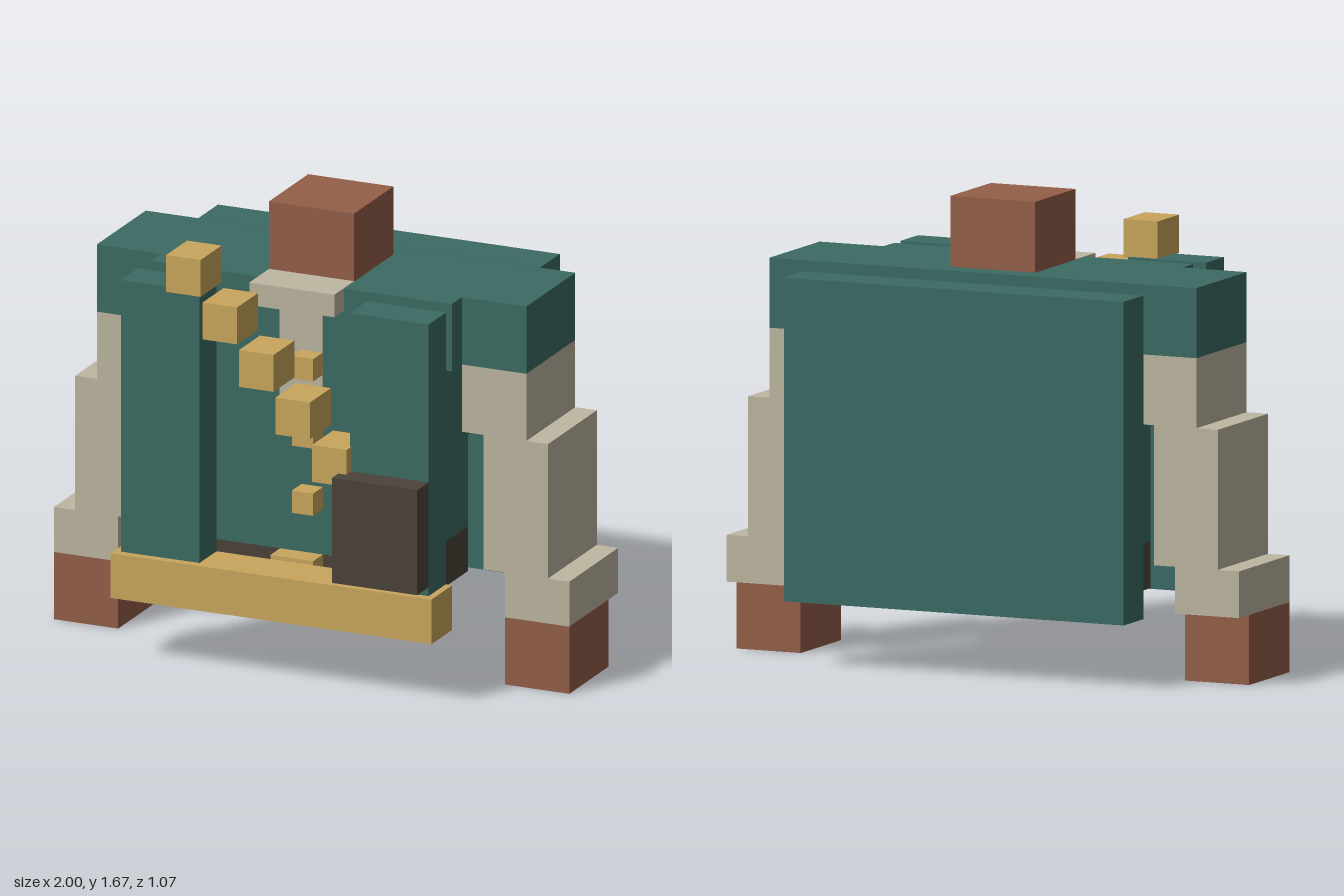
import * as THREE from 'three';

const material = (name, color) => {
  const m = new THREE.MeshStandardMaterial({ color });
  m.name = name;
  return m;
};

export function createModel() {
  const model = new THREE.Group();
  model.name = 'blockFigure';
  const teal = material('teal', 0x3c6b64);
  const cream = material('cream', 0xbdb7a1);
  const skin = material('skinBrown', 0x945f49);
  const gold = material('gold', 0xc9a65d);
  const dark = material('darkBrown', 0x4b4339);

  // Box given by its limits on each axis
  function box(name, mat, [x0, x1], [y0, y1], [z0, z1]) {
    const mesh = new THREE.Mesh(new THREE.BoxGeometry(x1 - x0, y1 - y0, z1 - z0), mat);
    mesh.position.set((x0 + x1) / 2, (y0 + y1) / 2, (z0 + z1) / 2);
    mesh.name = name;
    model.add(mesh);
  }
  // Box symmetric about x = 0
  const centred = (name, mat, w, y, z) => box(name, mat, [-w, w], y, z);
  // The same box on both sides
  function pair(name, mat, [x0, x1], y, z) {
    box(name + 'Left', mat, [x0, x1], y, z);
    box(name + 'Right', mat, [-x1, -x0], y, z);
  }

  // Head and collar
  const limbZ = [-0.21, 0.123];
  centred('head', skin, 0.165, [1.417, 1.67], limbZ);
  centred('collar', cream, 0.165, [1.335, 1.419], [0.12, 0.29]);

  // Torso, narrowing in steps to the hips
  const bodyZ = [-0.292, 0.208];
  centred('chest', teal, 0.583, [1.167, 1.417], bodyZ);
  centred('midriff', teal, 0.5, [0.917, 1.167], bodyZ);
  centred('waist', teal, 0.417, [0.417, 0.917], bodyZ);
  centred('hips', dark, 0.417, [0.25, 0.417], bodyZ);
  centred('shirtFront', cream, 0.083, [0.917, 1.335], [0.206, 0.212]);

  // Buttons and buckle
  for (let i = 0; i < 3; i++) {
    const y = 0.585 + i * 0.25;
    box('button' + (i + 1), gold, [0, 0.083], [y, y + 0.083], [0.208, 0.29]);
  }
  centred('buckle', gold, 0.083, [0.25, 0.417], [0.208, 0.29]);

  // Stepped arms with shoulders and hands
  const armZ = [-0.292, 0.123];
  pair('shoulder', teal, [0.583, 0.833], [1.167, 1.417], armZ);
  pair('upperArm', cream, [0.583, 0.833], [0.917, 1.167], armZ);
  pair('forearm', cream, [0.667, 0.917], [0.417, 0.917], armZ);
  pair('cuff', cream, [0.75, 1], [0.25, 0.417], armZ);
  pair('hand', skin, [0.75, 1], [0, 0.25], limbZ);

  // Back panel on its bracket
  centred('backBracket', teal, 0.415, [0.755, 0.835], [-0.37, -0.29]);
  centred('backPanel', teal, 0.663, [0.235, 1.39], [-0.533, -0.37]);

  // Front flaps, belt bar and pouch
  pair('frontFlap', teal, [0.292, 0.597], [0.234, 1.412], [0.289, 0.435]);
  centred('beltBar', gold, 0.622, [0.236, 0.402], [0.291, 0.467]);
  box('pouch', dark, [0.266, 0.597], [0.435, 0.825], [0.42, 0.532]);

  // Diagonal row of strap blocks
  for (let i = 0; i < 5; i++) {
    const x = -0.402 + i * 0.1415;
    const y = 1.408 - i * 0.157;
    box('strapBlock' + (i + 1), gold, [x, x + 0.134], [y, y + 0.137], [0.3, 0.478]);
  }
  return model;
}
